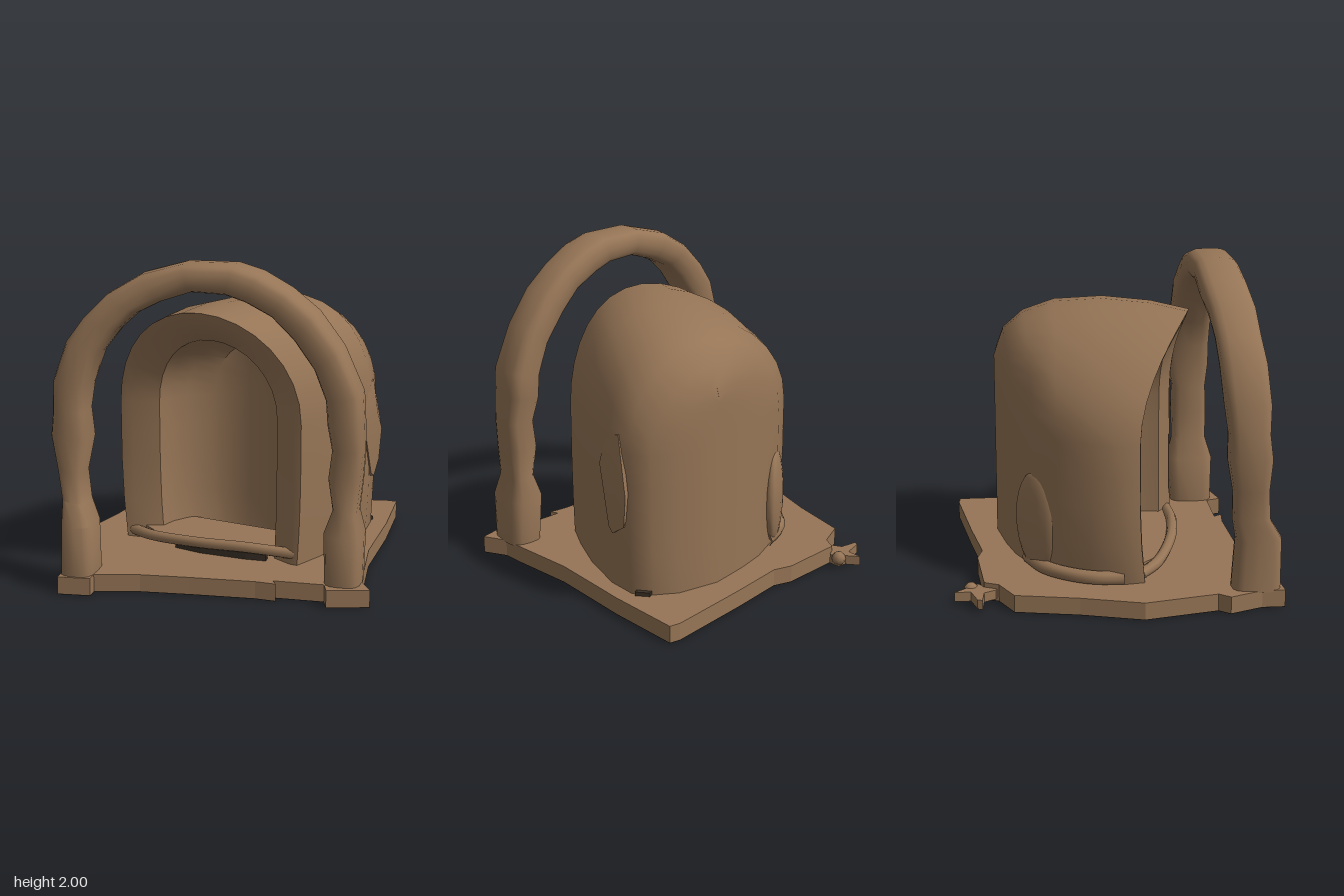
import * as THREE from 'three';
import { toCreasedNormals } from 'three/addons/utils/BufferGeometryUtils.js';
import { ConvexGeometry } from 'three/addons/geometries/ConvexGeometry.js';

const clay = new THREE.MeshStandardMaterial({ color: 0x967556, side: THREE.DoubleSide });
clay.name = 'brown clay';
const dark = new THREE.MeshStandardMaterial({ color: 0x3a3026, side: THREE.DoubleSide });
dark.name = 'dark underside';

// Skin a list of equally long point rings
function loft(rings, closed, crease = 0.75) {
  const n = rings[0].length, pos = rings.flat().flatMap(p => p.toArray()), idx = [];
  for (let i = 0; i < rings.length - 1; i++) {
    for (let j = 0; j < (closed ? n : n - 1); j++) {
      const a = i * n + j, b = i * n + (j + 1) % n;
      idx.push(a, b, a + n, b, b + n, a + n);
    }
  }
  const g = new THREE.BufferGeometry();
  g.setAttribute('position', new THREE.Float32BufferAttribute(pos, 3));
  g.setIndex(idx);
  return toCreasedNormals(g, crease);
}

// Horizontal slab from an x,z outline
function slab(points, y, height) {
  const s = new THREE.Shape(points.map(([x, z]) => new THREE.Vector2(x, -z)));
  const g = new THREE.ExtrudeGeometry(s, { depth: height, bevelEnabled: false });
  return g.rotateX(-Math.PI / 2).translate(0, y, 0);
}

const spow = (v, e) => Math.sign(v) * Math.abs(v) ** e;

// Vertical arch section: left foot, right foot, crown height, forward bulge,
// crown shift to the right; the feet draw in slightly
function archSection([lx, lz, rx, rz, top, bulge, shift = 0]) {
  const pts = [], spring = 1;
  const add = (u, y, dx = 0) => {
    const t = (u + 1) / 2;
    pts.push(new THREE.Vector3(lx + (rx - lx) * t + dx, y, lz + (rz - lz) * t + bulge * (1 - u * u)));
  };
  const legs = [0.1, 0.35, 0.6, 0.8];
  const drawIn = y => Math.max(0, 0.7 - y) ** 2;
  for (const y of legs) add(-1 + 0.2 * drawIn(y), y);
  for (let i = 0; i <= 16; i++) {
    const a = Math.PI * (1 - i / 16), s = Math.sin(a);
    add(Math.cos(a), spring + (top - spring) * s, shift * s * s);
  }
  for (const y of legs.reverse()) add(1 - 0.08 * drawIn(y), y);
  return pts;
}

export function createModel() {
  const group = new THREE.Group();
  const add = (name, geometry, material = clay) => {
    const m = new THREE.Mesh(geometry, material);
    m.name = name;
    group.add(m);
    return m;
  };

  // Uneven ground slab with a dark underside
  const outline = [
    [-0.83, -0.64], [-0.66, -0.73], [-0.62, -0.82], [-0.22, -0.86], [-0.1, -0.83], [0.26, -0.9],
    [0.8, -0.99], [0.87, -0.98], [0.88, -0.5], [0.86, 0.05], [0.9, 0.45], [0.91, 0.6],
    [0.99, 0.74], [0.74, 0.81], [0.71, 0.72], [0.4, 0.73], [0.43, 0.78], [0.3, 0.77], [-0.1, 0.8],
    [-0.4, 0.83], [-0.67, 0.9], [-0.67, 0.97], [-0.87, 0.99], [-0.87, 0.85], [-0.95, 0.65],
    [-0.9, 0.58], [-1, 0.13], [-0.9, -0.25],
  ];
  add('base', slab(outline, 0.004, 0.106));
  add('baseUnderside', slab(outline, 0, 0.004), dark);

  // Broken scrap at the back corner
  add('cornerScrap', slab([
    [-0.69, -1], [-0.63, -0.93], [-0.57, -0.92], [-0.57, -0.85], [-0.62, -0.82], [-0.6, -0.72],
    [-0.67, -0.75], [-0.71, -0.82], [-0.82, -0.83], [-0.81, -0.86], [-0.69, -0.9],
  ], 0.02, 0.06));
  const knob = add('cornerKnob', new THREE.SphereGeometry(0.045, 8, 6));
  knob.position.set(-0.6, 0.06, -0.9);

  // Shelter: outer skin from back to front, around the rim, then the hollow
  const shell = [
    [0.28, -0.73, 0.28, -0.73, 1.3, 0],
    [0.0, -0.67, 0.56, -0.69, 1.36, -0.03],
    [-0.2, -0.61, 0.7, -0.61, 1.48, -0.06],
    [-0.42, -0.51, 0.79, -0.51, 1.59, -0.03, 0.05],
    [-0.6, -0.37, 0.79, -0.32, 1.66, 0, 0.12],
    [-0.7, -0.18, 0.71, -0.02, 1.69, 0.05, 0.14],
    [-0.765, 0, 0.6, 0.24, 1.69, 0.12, 0.08],
    [-0.74, 0.12, 0.5, 0.43, 1.66, 0.19],
    [-0.66, 0.13, 0.45, 0.42, 1.6, 0.17],
    [-0.49, 0.1, 0.33, 0.34, 1.47, 0.12],
    [-0.45, 0.0, 0.35, 0.22, 1.44, 0.07],
    [-0.36, -0.1, 0.35, 0.08, 1.4, 0],
    [-0.2, -0.18, 0.25, -0.07, 1.34, -0.03],
    [0.03, -0.18, 0.03, -0.18, 1.25, 0],
  ];
  add('shelterShell', loft(shell.map(archSection), false));

  // Angular flap on the side wall
  add('sideFlap', toCreasedNormals(new ConvexGeometry([
    [0.77, 0.86, -0.21], [0.8, 0.5, -0.33], [0.81, 0.47, -0.38], [0.82, 0.55, -0.5],
    [0.83, 0.75, -0.53], [0.83, 0.9, -0.36], [0.79, 1.1, -0.42], [0.77, 1.08, -0.28],
    [0.68, 0.47, -0.36], [0.6, 0.8, -0.4], [0.7, 1.15, -0.4],
  ].map(p => new THREE.Vector3(...p))), 0.75));

  // Soft lump on the back wall
  const lump = add('backLump', new THREE.SphereGeometry(1, 16, 12));
  lump.position.set(-0.41, 0.42, -0.49);
  lump.scale.set(0.18, 0.32, 0.06);
  lump.rotation.y = 0.69;

  // Rolled lips at the doorway and at the back foot of the wall
  const lips = [
    ['doorSill', 0.035, [[-0.66, 0.15, 0.13], [-0.5, 0.16, 0.25], [-0.15, 0.18, 0.37], [0.15, 0.19, 0.41], [0.46, 0.17, 0.4]]],
    ['backLip', 0.045, [[-0.3, 0.15, -0.54], [-0.5, 0.15, -0.44], [-0.62, 0.15, -0.3], [-0.69, 0.15, -0.14], [-0.7, 0.15, 0.03]]],
  ];
  for (const [name, r, pts] of lips) {
    const path = new THREE.CatmullRomCurve3(pts.map(p => new THREE.Vector3(...p)));
    add(name, new THREE.TubeGeometry(path, 24, r, 8));
  }

  // Raised floor behind the sill, and dark gaps at the foot of the shelter
  add('recessFloor', slab([
    [-0.6, 0.12], [-0.48, 0.24], [-0.15, 0.36], [0.15, 0.4], [0.42, 0.39], [0.36, 0.05], [-0.38, -0.12],
  ], 0.155, 0.03));
  add('sillGap', slab([
    [-0.33, 0.31], [-0.15, 0.37], [0.15, 0.41], [0.28, 0.41], [0.28, 0.36], [-0.33, 0.25],
  ], 0.111, 0.05), dark);
  add('sideGap', slab([[0.78, -0.55], [0.72, -0.62], [0.64, -0.58], [0.7, -0.5]], 0.111, 0.025), dark);

  // Free-standing front arch: outer x,y, inner x,y, centre z, half depth
  const arch = [
    [-0.88, 0.1, -0.67, 0.1, 0.82, 0.15], [-0.87, 0.42, -0.67, 0.42, 0.83, 0.14],
    [-0.88, 0.56, -0.73, 0.54, 0.78, 0.115], [-0.91, 0.75, -0.75, 0.72, 0.77, 0.11],
    [-0.945, 0.95, -0.71, 0.93, 0.76, 0.135], [-0.935, 1.1, -0.73, 1.1, 0.75, 0.125],
    [-0.93, 1.28, -0.71, 1.26, 0.74, 0.14], [-0.85, 1.52, -0.64, 1.46, 0.72, 0.14],
    [-0.75, 1.66, -0.53, 1.6, 0.7, 0.135], [-0.6, 1.81, -0.42, 1.7, 0.68, 0.14],
    [-0.4, 1.93, -0.28, 1.77, 0.65, 0.14], [-0.15, 2, -0.1, 1.83, 0.635, 0.135],
    [0.15, 2, 0.1, 1.82, 0.62, 0.135], [0.3, 1.955, 0.22, 1.78, 0.61, 0.14],
    [0.47, 1.86, 0.37, 1.7, 0.6, 0.135], [0.63, 1.73, 0.5, 1.57, 0.59, 0.14],
    [0.78, 1.53, 0.62, 1.4, 0.585, 0.135], [0.9, 1.26, 0.69, 1.22, 0.58, 0.14],
    [0.91, 1.1, 0.7, 1.08, 0.58, 0.14], [0.92, 0.93, 0.73, 0.92, 0.59, 0.115],
    [0.91, 0.75, 0.71, 0.75, 0.59, 0.12], [0.89, 0.54, 0.74, 0.56, 0.595, 0.115],
    [0.925, 0.4, 0.69, 0.42, 0.6, 0.155], [0.92, 0.1, 0.7, 0.1, 0.61, 0.14],
  ];
  add('frontArch', loft(arch.map(([ox, oy, ix, iy, z, d]) => {
    const ring = [];
    for (let k = 0; k < 16; k++) {
      const a = k / 16 * Math.PI * 2, t = (1 + spow(Math.cos(a), 0.6)) / 2;
      ring.push(new THREE.Vector3(ix + (ox - ix) * t, iy + (oy - iy) * t, z + d * spow(Math.sin(a), 0.6)));
    }
    return ring;
  }), true));

  return group;
}
